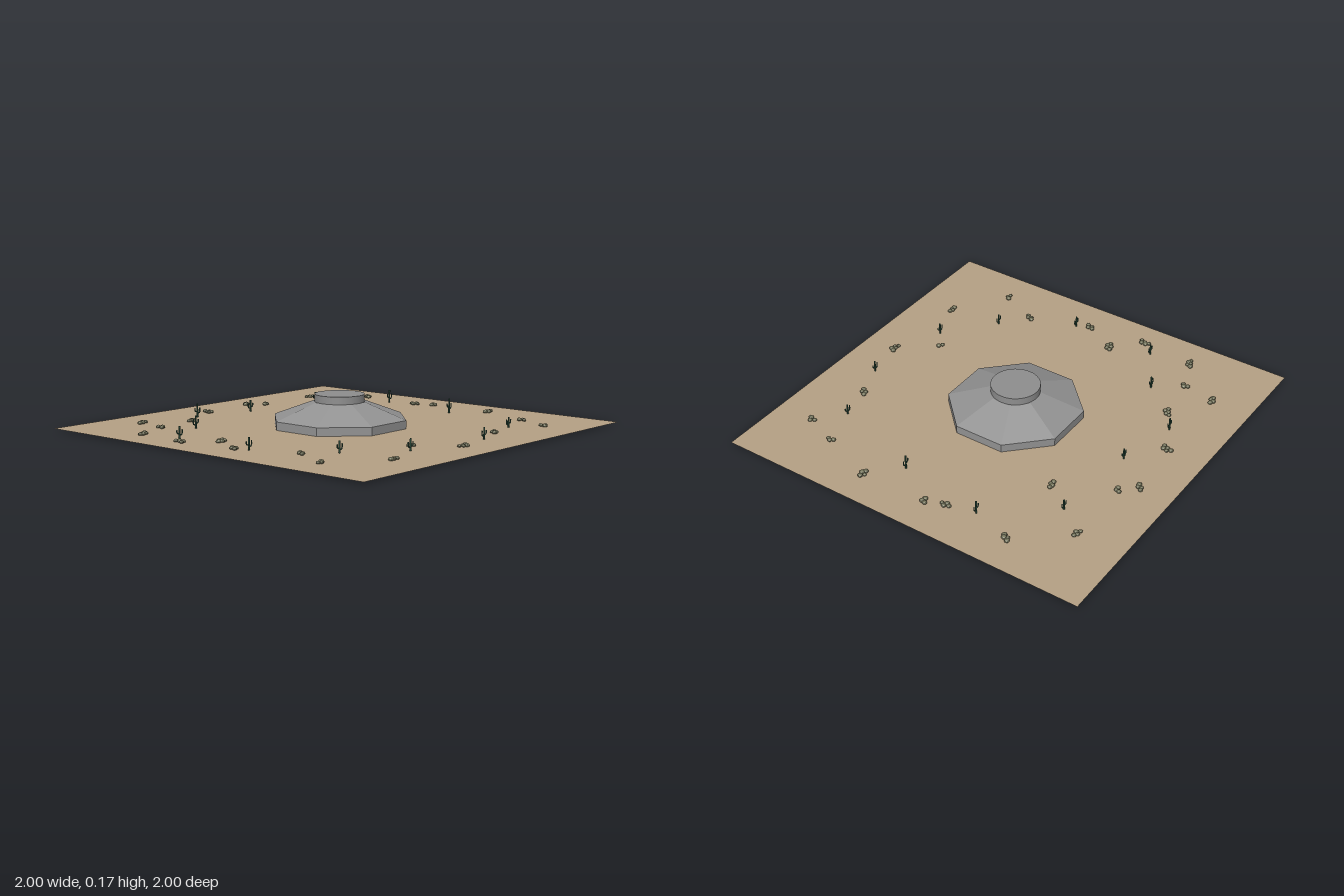
import * as THREE from 'three';

const mat = (name, color, extra = {}) => {
  const m = new THREE.MeshStandardMaterial({ color, ...extra });
  m.name = name;
  return m;
};

const GROUND = 0.01;

export function createModel() {
  const sand = mat('sand', 0xb5a084, { side: THREE.DoubleSide });
  const grey = mat('bunker grey', 0x929292, { flatShading: true });
  const capGrey = mat('cap grey', 0x8e8e8e);
  const green = mat('cactus green', 0x2c5240);
  const scrub = mat('scrub olive', 0x74745a, { flatShading: true });

  const model = new THREE.Group();
  const add = (parent, name, geo, material, x = 0, y = 0, z = 0) => {
    const m = new THREE.Mesh(geo, material);
    m.name = name;
    m.position.set(x, y, z);
    parent.add(m);
    return m;
  };

  // Desert floor, a single sheet
  add(model, 'ground', new THREE.PlaneGeometry(2, 2).rotateX(-Math.PI / 2), sand, 0, GROUND, 0);

  // Octagonal bunker: low wall, sloping roof, round cap
  const bunker = new THREE.Group();
  bunker.name = 'bunker';
  model.add(bunker);
  const k = 1 / Math.cos(Math.PI / 8);
  const octagon = (top, bottom, h) =>
    new THREE.CylinderGeometry(top * k, bottom * k, h, 8).rotateY(Math.PI / 8);
  add(bunker, 'wall', octagon(0.32, 0.32, 0.042), grey, 0, GROUND + 0.021, 0);
  add(bunker, 'roof', octagon(0.125, 0.32, 0.08), grey, 0, 0.092, 0);
  add(bunker, 'cap', new THREE.CylinderGeometry(0.125, 0.125, 0.04, 40), capGrey, 0, 0.15, 0);

  // Cacti: x, z, height, side of the taller arm
  const cacti = [
    [-0.29, -0.72, 0.08, 1], [0.03, -0.65, 0.07, -1], [0.5, -0.61, 0.065, 1],
    [-0.54, -0.47, 0.075, -1], [-0.79, -0.32, 0.07, 1], [0.75, -0.29, 0.08, 1],
    [-0.79, 0.14, 0.07, 1], [0.675, 0.175, 0.085, 1], [-0.575, 0.5, 0.068, 1],
    [0.5, 0.675, 0.062, -1], [-0.325, 0.71, 0.07, -1], [0.14, 0.785, 0.07, -1],
  ];
  const r = 0.0045;
  const armGeo = (side, start, rise) => {
    const curve = new THREE.CatmullRomCurve3([
      [0, start], [0.011, start], [0.016, start + 0.005], [0.017, start + rise],
    ].map(([x, y]) => new THREE.Vector3(x * side, y, 0)));
    return new THREE.TubeGeometry(curve, 8, 0.0033, 6);
  };
  cacti.forEach(([x, z, h, side]) => {
    const cactus = new THREE.Group();
    cactus.name = 'cactus';
    cactus.position.set(x, 0, z);
    model.add(cactus);
    add(cactus, 'trunk', new THREE.CylinderGeometry(r, r, h, 8), green, 0, h / 2, 0);
    [[side, 0.4, 0.024], [-side, 0.5, 0.016]].forEach(([s, t, rise]) => {
      add(cactus, 'arm', armGeo(s, h * t, rise), green);
      add(cactus, 'armTip', new THREE.SphereGeometry(0.0033, 6, 4), green, s * 0.017, h * t + rise, 0);
    });
  });

  // Scrub clumps: x, z, long-axis angle, number of lumps
  const clumps = [
    [-0.61, -0.785, 0.4, 4], [-0.145, -0.785, 1.2, 5], [0.175, -0.825, 1, 4], [0.25, -0.745, 0.7, 3],
    [0.61, -0.75, 0.1, 4], [-0.64, -0.61, 1.3, 3], [-0.4, -0.645, 0.5, 5], [-0.825, -0.535, 0.3, 5],
    [0.39, -0.47, 0.6, 4], [0.815, -0.5, 1.2, 4], [-0.855, -0.245, 1.4, 5], [-0.72, -0.11, 0.4, 5],
    [0.785, -0.14, 1.9, 4], [0.82, -0.04, 0.5, 3], [-0.82, 0.07, 1.4, 4], [-0.71, 0.39, 1.3, 4],
    [0.825, 0.315, 0.2, 4], [-0.815, 0.6, 0.1, 3], [0.715, 0.61, 1.6, 3], [-0.23, 0.637, 0, 2],
    [-0.54, 0.785, 0.3, 4], [-0.075, 0.825, 0.1, 5], [0.32, 0.717, 1.1, 4], [0.645, 0.79, 1.3, 3],
  ];
  let seed = 7;
  const rand = () => (seed = (seed * 16807) % 2147483647) / 2147483647;
  const lump = new THREE.IcosahedronGeometry(1, 1);
  clumps.forEach(([x, z, angle, n]) => {
    const clump = new THREE.Group();
    clump.name = 'scrubClump';
    clump.position.set(x, GROUND + 0.006, z);
    clump.rotation.y = angle;
    model.add(clump);
    for (let i = 0; i < n; i++) {
      const along = (i / (n - 1) - 0.5) * 0.0095 * n;
      const m = add(clump, 'lump', lump, scrub, along, 0, (i % 2 ? 1 : -1) * 0.007 * (0.5 + rand()));
      const s = 0.01 + rand() * 0.004;
      m.scale.set(s, s * 0.75, s);
      m.rotation.y = rand() * 3;
    }
  });

  return model;
}
